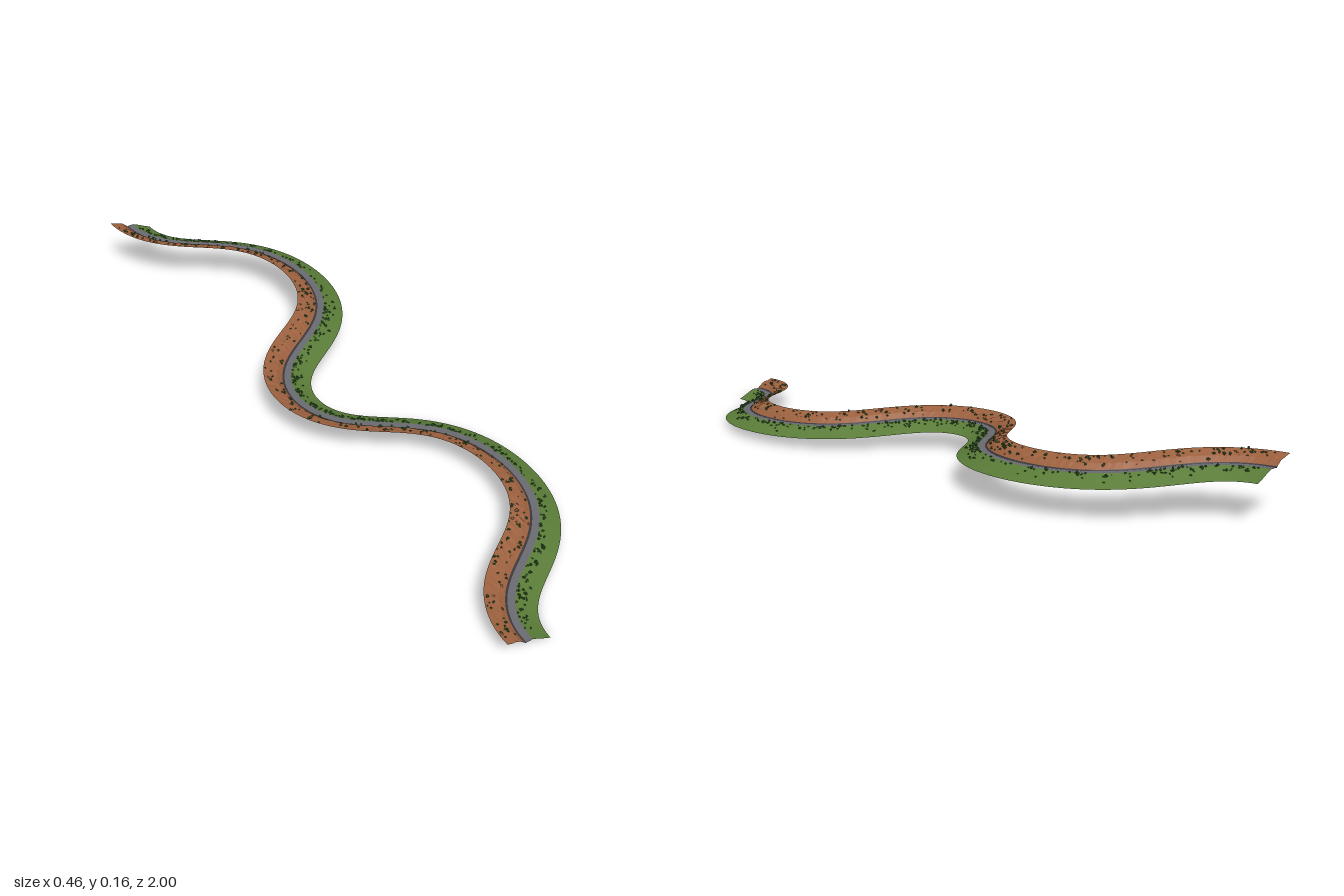
import * as THREE from 'three';
import { mergeGeometries } from 'three/addons/utils/BufferGeometryUtils.js';

const mat = (name, color, side = THREE.FrontSide) => {
  const m = new THREE.MeshStandardMaterial({ color, side });
  m.name = name;
  return m;
};

// Small seeded random generator
let seed = 7;
const rand = () => {
  seed = (seed * 16807) % 2147483647;
  return seed / 2147483647;
};
const range = (a, b) => a + (b - a) * rand();

// Point on the winding hillside: t along the road (0 front, 4 back, one unit
// per half bend), o sideways, h above the road. Right bends are the wider ones.
function place(t, o, h) {
  const i = Math.min(Math.floor(t), 3);
  const odd = i % 2 === 1;
  const u = odd ? 1 - (t - i) : t - i;
  const p = Math.PI;
  const run = 0.5 * u + 0.026 * Math.sin(2 * p * u) - 0.032 * Math.sin(p * u);
  const dRun = 0.5 + 0.052 * p * Math.cos(2 * p * u) - 0.032 * p * Math.cos(p * u);
  const z = odd ? 1 - (i + 1) * 0.5 + run : 1 - i * 0.5 - run;
  const slope = (0.1625 * p * Math.sin(p * u) / dRun) * (odd ? 1 : -1);
  const len = Math.hypot(1, slope);
  return new THREE.Vector3(
    -0.1625 * Math.cos(p * u) + o / len,
    0.026 + 0.025 * (t - 0.06 * Math.sin(2 * p * t)) + h,
    z - (o * slope) / len
  );
}

// Sweep a cross-section of [offset, height] points along the road
function ribbon(profile, rough = 0) {
  const pos = [], index = [], n = profile.length, steps = 240;
  for (let i = 0; i <= steps; i++) {
    profile.forEach(([o, h], j) => {
      const bump = j > 0 && j < n - 1 ? range(-rough, rough) : 0;
      pos.push(...place((4 * i) / steps, o, h + bump).toArray());
      if (i < steps && j < n - 1) {
        const a = i * n + j;
        index.push(a, a + 1, a + n, a + 1, a + n + 1, a + n);
      }
    });
  }
  let g = new THREE.BufferGeometry();
  g.setAttribute('position', new THREE.Float32BufferAttribute(pos, 3));
  g.setIndex(index);
  if (rough) g = g.toNonIndexed();
  g.computeVertexNormals();
  return g;
}

// Ground beside the road: earth cut uphill, grass fill downhill
const CUT = [[-0.065, 0.026], [-0.052, 0.022], [-0.04, 0.0185], [-0.028, 0.0148], [-0.0135, 0.002]];
const FILL = [[0.0105, 0], [0.028, -0.008], [0.045, -0.017], [0.065, -0.026]];
function groundHeight(o) {
  const p = o < 0 ? CUT : FILL;
  for (let i = 0; i < p.length - 1; i++) {
    const [a, ha] = p[i], [b, hb] = p[i + 1];
    if (o >= a && o <= b) return ha + ((hb - ha) * (o - a)) / (b - a);
  }
  return 0;
}

// Scatter copies of a geometry on one side of the road
function scatter(base, count, pick, sMin, sMax) {
  const list = [];
  for (let i = 0; i < count; i++) {
    const o = pick(), s = range(sMin, sMax);
    const p = place(range(0.03, 3.97), o, groundHeight(o));
    const g = base.clone();
    g.rotateY(range(0, 6.28));
    g.scale(s * range(0.85, 1.15), s, s * range(0.85, 1.15));
    g.translate(p.x, p.y, p.z);
    list.push(g);
  }
  return mergeGeometries(list);
}

export function createModel() {
  const group = new THREE.Group();
  const D = THREE.DoubleSide;
  const dirt = mat('red earth', 0x9c613f, D);
  const grass = mat('grass', 0x5a7c38, D);
  const asphalt = mat('asphalt', 0x686a70, D);
  const gutterMat = mat('dark gutter', 0x3c373c, D);
  const foliage = mat('foliage', 0x336829);
  const lightFoliage = mat('light foliage', 0x467d33);
  const bark = mat('bark', 0x54392a);
  const stone = mat('tan stone', 0xb87650);
  const greyStone = mat('grey stone', 0x5c6068);

  const add = (name, geometry, material) => {
    const m = new THREE.Mesh(geometry, material);
    m.name = name;
    group.add(m);
  };

  // Ground strips, from the uphill cut to the downhill grass
  add('earthBank', ribbon(CUT, 0.0014), dirt);
  add('gutter', ribbon([[-0.0135, 0.002], [-0.011, -0.001], [-0.008, 0]]), gutterMat);
  add('road', ribbon([[-0.008, 0], [0.0105, 0]]), asphalt);
  add('grassSlope', ribbon(FILL), grass);

  // Leafy clumps of three low-poly lobes
  const lobe = (r, x, y, z) => new THREE.IcosahedronGeometry(r, 0).translate(x, y, z);
  const bush = mergeGeometries([lobe(0.8, 0, 0.5, 0), lobe(0.6, 0.8, 0.4, 0.3), lobe(0.55, -0.5, 0.4, 0.7)]);
  const crown = mergeGeometries([lobe(0.8, 0, 1.5, 0), lobe(0.65, 0.7, 1, 0.3), lobe(0.6, -0.6, 1, -0.3)]);
  const trunk = new THREE.CylinderGeometry(0.13, 0.2, 1.4, 5).translate(0, 0.4, 0);
  const uphill = () => -0.016 - 0.046 * rand();
  const downhill = () => 0.0125 + 0.034 * rand() * rand();

  for (const [side, pick, bushes, trees] of [['bank', uphill, 110, 80], ['slope', downhill, 150, 110]]) {
    add(side + 'Bushes', scatter(bush, bushes, pick, 0.0018, 0.0032), foliage);
    add(side + 'LightBushes', scatter(bush, bushes * 0.6, pick, 0.0018, 0.0032), lightFoliage);
    // Crowns and trunks share one seed so that they line up
    const start = seed;
    add(side + 'TreeCrowns', scatter(crown, trees, pick, 0.0026, 0.004), foliage);
    seed = start;
    add(side + 'TreeTrunks', scatter(trunk, trees, pick, 0.0026, 0.004), bark);
  }

  // Boulders on the bank and small stones on the grass
  const boulder = new THREE.DodecahedronGeometry(1, 0).scale(1.3, 0.7, 1);
  add('boulders', scatter(boulder, 30, uphill, 0.002, 0.0058), stone);
  add('slopeStones', scatter(boulder, 20, downhill, 0.0014, 0.0026), greyStone);

  return group;
}
